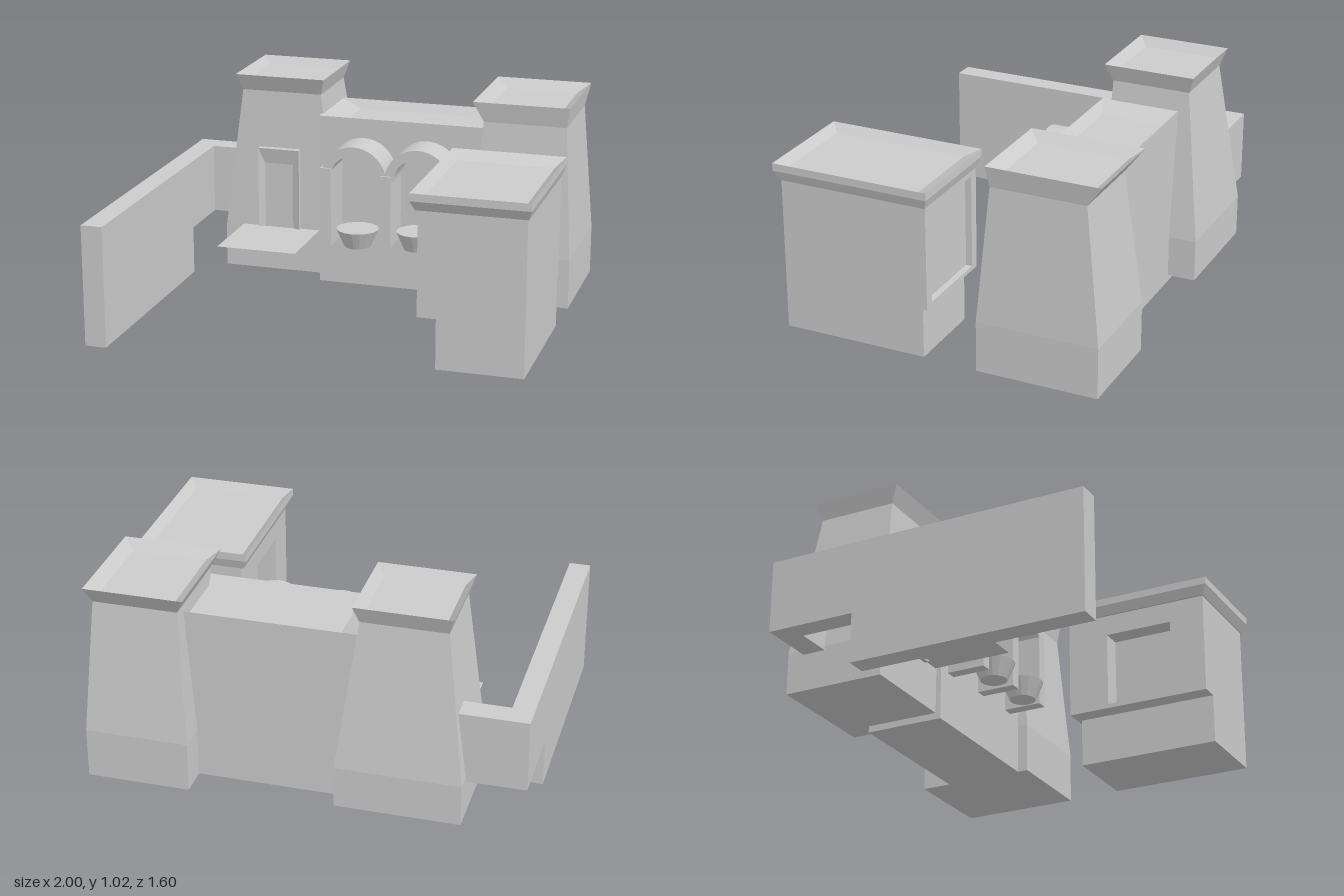
import * as THREE from 'three';

const material = new THREE.MeshStandardMaterial({ color: 0xcccccc, flatShading: true, side: THREE.DoubleSide });

// Skin over rectangles [y, x0, x1, z0, z1]; rings may fold inward and down to form a sunken roof
function loft(rings) {
  const loops = rings.map(([y, x0, x1, z0, z1]) => [[x0, y, z1], [x1, y, z1], [x1, y, z0], [x0, y, z0]]);
  const p = [];
  const quad = (a, b, c, d) => p.push(...a, ...b, ...c, ...a, ...c, ...d);
  for (let i = 0; i + 1 < loops.length; i++) {
    for (let j = 0; j < 4; j++) {
      const k = (j + 1) % 4;
      quad(loops[i][j], loops[i][k], loops[i + 1][k], loops[i + 1][j]);
    }
  }
  quad(...loops[loops.length - 1]);
  quad(...[...loops[0]].reverse());
  const g = new THREE.BufferGeometry();
  g.setAttribute('position', new THREE.Float32BufferAttribute(p, 3));
  g.computeVertexNormals();
  return g;
}

// Box given by its limits
function block(x0, x1, y0, y1, z0, z1) {
  return new THREE.BoxGeometry(x1 - x0, y1 - y0, z1 - z0)
    .translate((x0 + x1) / 2, (y0 + y1) / 2, (z0 + z1) / 2);
}

// Upright wall with a rectangular opening, extruded along z
function piercedWall([u0, u1, v0, v1], [a0, a1, b0, b1], depth) {
  const rect = (C, l, r, b, t) => new C([[l, b], [r, b], [r, t], [l, t]].map(([x, y]) => new THREE.Vector2(x, y)));
  const shape = rect(THREE.Shape, u0, u1, v0, v1);
  shape.holes.push(rect(THREE.Path, a0, a1, b0, b1));
  return new THREE.ExtrudeGeometry(shape, { depth, bevelEnabled: false });
}

export function createModel() {
  const model = new THREE.Group();
  const add = (name, geometry, parent = model) => {
    const mesh = new THREE.Mesh(geometry, material);
    mesh.name = name;
    parent.add(mesh);
    return mesh;
  };
  const group = (name) => {
    const g = new THREE.Group();
    g.name = name;
    model.add(g);
    return g;
  };

  // Tapered towers with flared tops and sunken roofs
  add('rightTower', loft([
    [0.055, -0.73, -0.16, -0.79, -0.31],
    [0.25, -0.73, -0.16, -0.79, -0.31],
    [0.94, -0.64, -0.25, -0.7, -0.33],
    [1.02, -0.665, -0.225, -0.73, -0.295],
    [0.98, -0.625, -0.265, -0.69, -0.335],
  ]));
  add('leftTower', loft([
    [0.025, 0.51, 0.985, -0.8, -0.235],
    [0.26, 0.51, 0.985, -0.8, -0.235],
    [0.88, 0.555, 0.945, -0.725, -0.285],
    [0.975, 0.505, 0.96, -0.795, -0.27],
    [0.935, 0.56, 0.905, -0.74, -0.325],
  ]));

  // Hall between the towers
  add('hall', loft([
    [0.025, -0.245, 0.6, -0.66, -0.285],
    [0.85, -0.245, 0.6, -0.655, -0.285],
    [0.81, -0.14, 0.56, -0.62, -0.325],
  ]));

  // Splayed window frame on the tower front
  add('windowFrame', loft([
    [-0.36, -0.555, -0.35, -0.665, -0.26],
    [-0.29, -0.555, -0.35, -0.665, -0.26],
    [-0.305, -0.525, -0.385, -0.59, -0.262],
  ]).rotateX(Math.PI / 2));
  add('awning', new THREE.PlaneGeometry(0.385, 0.375).rotateX(-Math.PI / 2).translate(-0.447, 0.27, -0.122));

  // Twin arches with their piers
  const arcade = group('arcade');
  for (const [x, y] of [[-0.023, 0.597], [0.287, 0.605]]) {
    const ring = new THREE.Shape();
    ring.absarc(x, y, 0.16, 0, Math.PI, false);
    ring.absarc(x, y, 0.115, Math.PI, 0, true);
    add('arch', new THREE.ExtrudeGeometry(ring, { depth: 0.19, bevelEnabled: false, curveSegments: 12 })
      .translate(0, 0, -0.3), arcade);
  }
  for (const [x, y0, y1] of [[-0.157, 0.27, 0.648], [0.133, 0.285, 0.63], [0.403, 0.295, 0.64]]) {
    add('pier', block(x - 0.027, x + 0.027, y0, y1, -0.3, -0.1), arcade);
  }

  // Basins under the arches
  for (const [x, y, r] of [[-0.01, 0.313, 0.1], [0.28, 0.325, 0.098]]) {
    add('basin', new THREE.CylinderGeometry(r, r * 0.63, 0.085, 16).translate(x, y, -0.14));
  }

  // Gatehouse: solid core, doorway side, panelled back, overhanging roof
  const gatehouse = group('gatehouse');
  add('gatehouseBase', block(0.59, 0.98, 0.03, 0.26, 0.02, 0.7), gatehouse);
  add('gatehouseCore', block(0.6, 0.98, 0.26, 0.74, 0.03, 0.7), gatehouse);
  add('doorwayWall', piercedWall([0.03, 0.7, 0.26, 0.745], [0.2, 0.53, 0.28, 0.64], 0.095)
    .rotateY(-Math.PI / 2).translate(0.6, 0, 0), gatehouse);
  add('panelledBack', piercedWall([0.505, 0.98, 0.26, 0.745], [0.55, 0.935, 0.28, 0.715], 0.03), gatehouse);
  add('gatehouseRoof', loft([
    [0.74, 0.495, 0.985, 0, 0.705],
    [0.785, 0.475, 1, -0.015, 0.73],
    [0.82, 0.475, 1, -0.015, 0.73],
    [0.785, 0.515, 0.96, 0.055, 0.69],
  ]), gatehouse);

  // Boundary wall, raised off the ground near the tower
  const profile = new THREE.Shape([[-0.71, 0.23], [-0.295, 0.23], [-0.295, 0], [0.8, 0], [0.8, 0.565], [-0.71, 0.565]]
    .map(([z, y]) => new THREE.Vector2(z, y)));
  const wall = group('boundaryWall');
  add('longWall', new THREE.ExtrudeGeometry(profile, { depth: 0.1, bevelEnabled: false })
    .rotateY(-Math.PI / 2).translate(-0.9, 0, 0), wall);
  add('returnWall', block(-0.9, -0.68, 0.23, 0.565, -0.71, -0.6), wall);

  return model;
}
